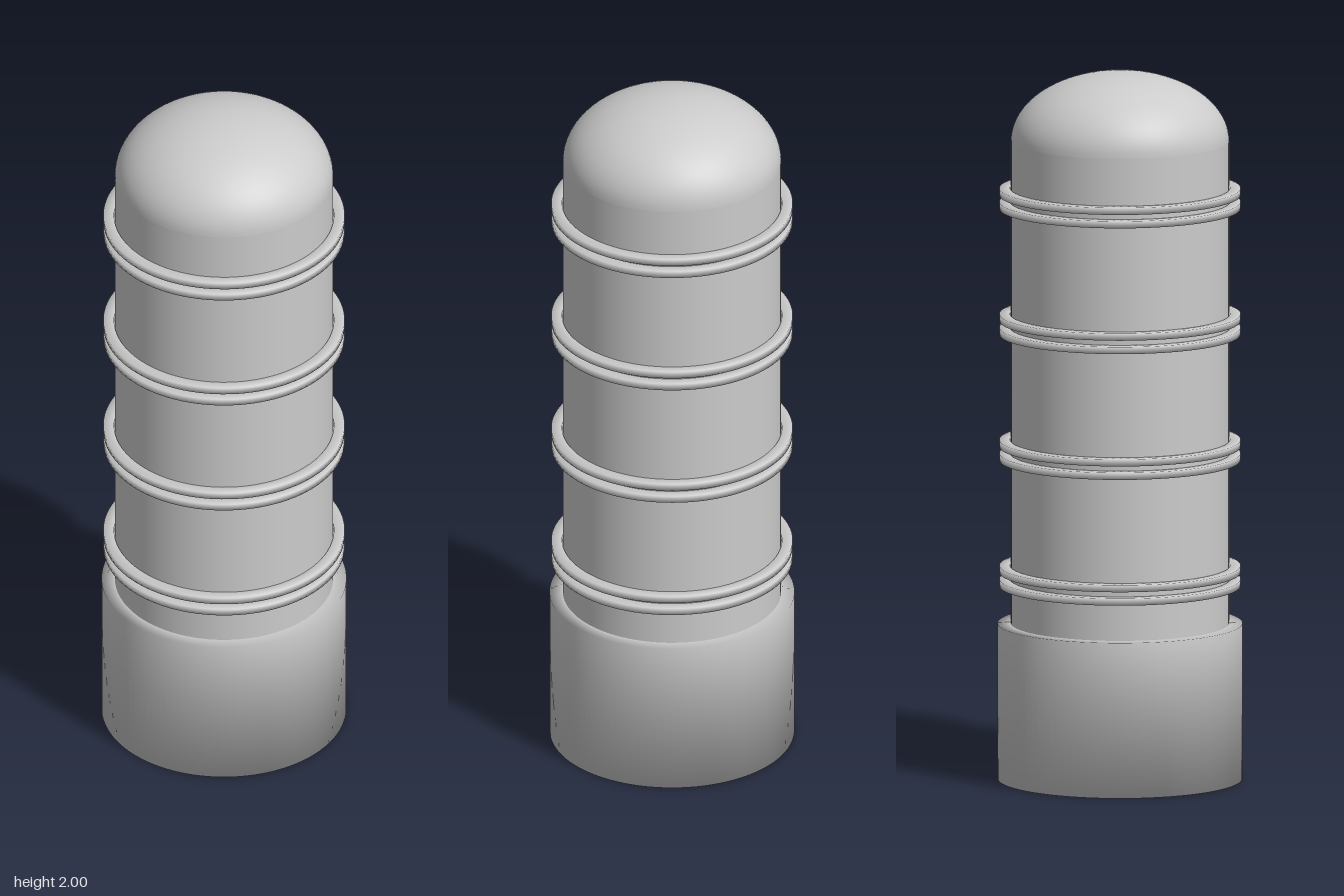
import * as THREE from 'three';

const SIDES = 96;

export function createModel() {
  const group = new THREE.Group();
  const material = new THREE.MeshStandardMaterial({ color: 0xcccccc });

  // Turns an [radius, y] profile around the vertical axis
  function turned(name, profile, y = 0) {
    const points = profile.map(([r, h]) => new THREE.Vector2(r, h));
    const mesh = new THREE.Mesh(new THREE.LatheGeometry(points, SIDES), material);
    mesh.name = name;
    mesh.position.y = y;
    group.add(mesh);
  }

  // Wide foot with softly shaded edges
  turned('base', [[0, 0], [0.342, 0], [0.342, 0.44], [0.3, 0.44]]);

  // Straight shaft
  turned('shaft', [[0.305, 0.42], [0.305, 1.805]]);

  // Flattened dome on top
  const dome = [];
  for (let i = 0; i <= 24; i++) {
    const a = (i / 24) * Math.PI / 2;
    dome.push([i === 24 ? 0 : 0.305 * Math.cos(a), 0.195 * Math.sin(a)]);
  }
  turned('dome', dome, 1.805);

  // Four pairs of thin raised rings
  const inner = 0.307, outer = 0.337, half = 0.01;
  const ring = [[inner, 0], [inner, -half], [outer, -half], [outer, half], [inner, half], [inner, 0]];
  for (let i = 0; i < 4; i++) {
    const y = 0.574 + i * 0.356;
    turned('lowerRing' + (i + 1), ring, y - 0.019);
    turned('upperRing' + (i + 1), ring, y + 0.019);
  }

  return group;
}
